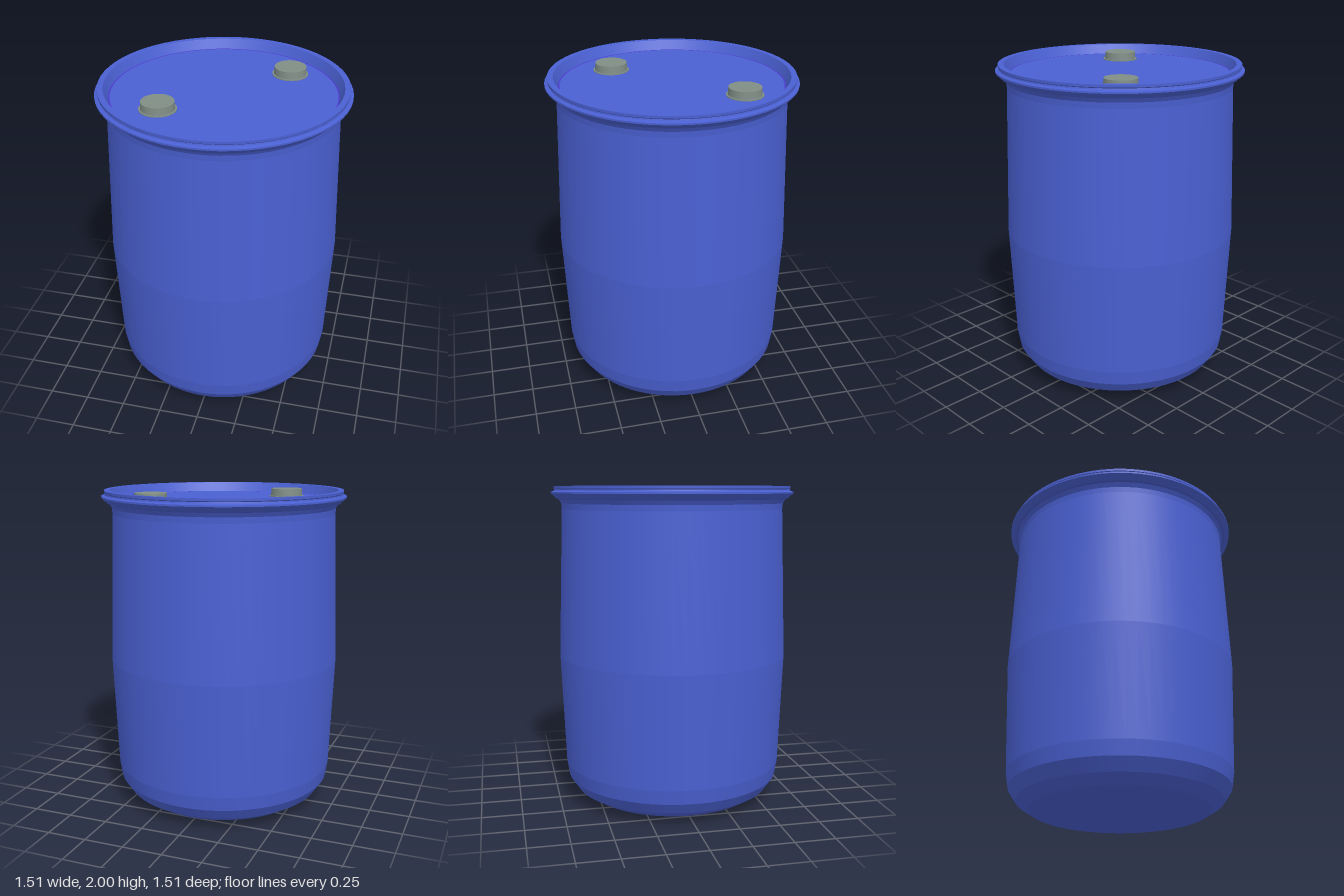
import * as THREE from 'three';
import { mergeGeometries } from 'three/addons/utils/BufferGeometryUtils.js';

const SIDES = 64;

// Revolves each profile segment on its own: round around the axis, crisp between bands
function bandedLathe(profile) {
  const bands = [];
  for (let i = 0; i < profile.length - 1; i++) {
    const pair = [profile[i], profile[i + 1]].map(([r, y]) => new THREE.Vector2(r, y));
    bands.push(new THREE.LatheGeometry(pair, SIDES));
  }
  return mergeGeometries(bands);
}

export function createModel() {
  const blue = new THREE.MeshStandardMaterial({ color: 0x4a60d2 });
  blue.name = 'blue plastic';
  const violet = new THREE.MeshStandardMaterial({ color: 0x4b38cc });
  violet.name = 'violet seam';
  const grey = new THREE.MeshStandardMaterial({ color: 0x808e86 });
  grey.name = 'grey cap';

  const barrel = new THREE.Group();
  barrel.name = 'barrel';
  const add = (name, geometry, material, parent = barrel) => {
    const mesh = new THREE.Mesh(geometry, material);
    mesh.name = name;
    parent.add(mesh);
    return mesh;
  };

  // Bulging body with a rounded foot, flaring into the rim
  add('body', bandedLathe([
    [0, 0], [0.46, 0.005], [0.55, 0.025], [0.63, 0.075], [0.68, 0.15], [0.695, 0.24],
    [0.723, 0.94], [0.692, 1.86], [0.695, 1.895], [0.71, 1.92],
  ]), blue);

  // Flange, raised lip and sloping inner wall
  add('rim', bandedLathe([
    [0.71, 1.92], [0.725, 1.925], [0.757, 1.955], [0.757, 1.965], [0.737, 1.972],
    [0.735, 1.98], [0.74, 1.985], [0.74, 2], [0.705, 2], [0.678, 1.942],
  ]), blue);

  // Recessed lid with a thin seam around it
  add('lid', bandedLathe([[0.67, 1.942], [0, 1.942]]), blue);
  add('lidSeam', bandedLathe([[0.678, 1.942], [0.67, 1.942]]), violet);

  // Two bungs, each a short cap on a thin collar
  for (const [name, x, z] of [['largeBung', 0.335, -0.35], ['smallBung', -0.31, 0.315]]) {
    const bung = new THREE.Group();
    bung.name = name;
    bung.position.set(x, 1.942, z);
    add('collar', new THREE.CylinderGeometry(0.11, 0.11, 0.006, 40).translate(0, 0.003, 0), grey, bung);
    add('cap', new THREE.CylinderGeometry(0.097, 0.1, 0.046, 40).translate(0, 0.027, 0), grey, bung);
    barrel.add(bung);
  }
  return barrel;
}
